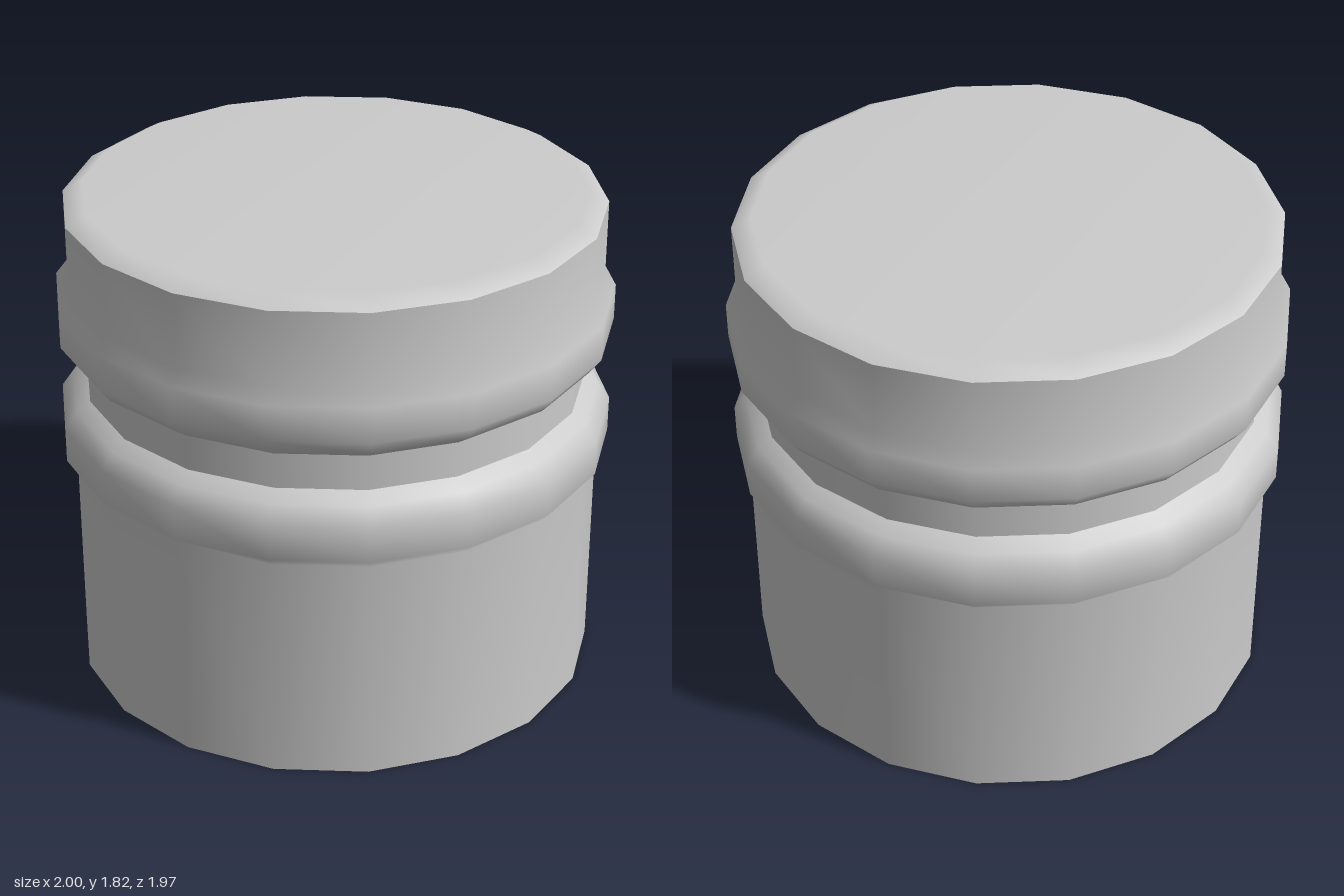
import * as THREE from 'three';

const SIDES = 18;

// Each smooth section is its own lathe, so the joints between sections stay sharp.
const sections = {
  lowerBody: [[0.96, 0], [0.96, 0.84], [1, 0.88], [1, 1.01], [0.955, 1.07], [0.905, 1.105]],
  neck: [[0.905, 1.105], [0.905, 1.235]],
  upperBody: [[0.905, 1.235], [0.955, 1.27], [1, 1.33], [1, 1.46], [0.96, 1.51], [0.96, 1.78]],
  topCap: [[0.96, 1.78], [0.89, 1.82], [0, 1.82]],
};

export function createModel() {
  const model = new THREE.Group();
  model.name = 'ribbedCap';

  // Thin open shell, visible from inside through the open bottom
  const material = new THREE.MeshStandardMaterial({ color: 0xcccccc, side: THREE.DoubleSide });

  for (const [name, profile] of Object.entries(sections)) {
    const points = profile.map(([r, y]) => new THREE.Vector2(r, y));
    // Start a quarter turn round so corners fall on x = 1 and x = -1
    const mesh = new THREE.Mesh(new THREE.LatheGeometry(points, SIDES, Math.PI / 2), material);
    mesh.name = name;
    model.add(mesh);
  }
  return model;
}
